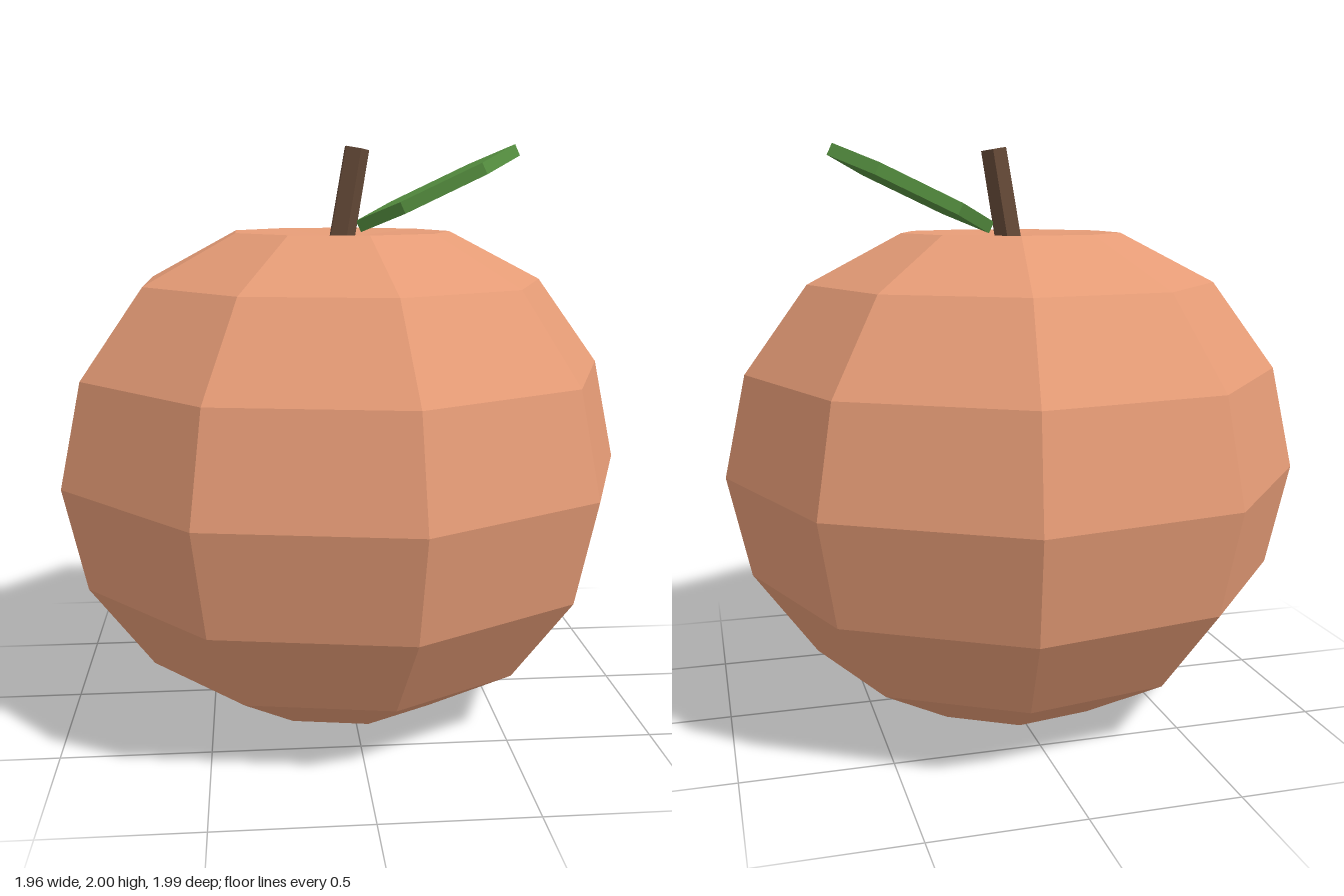
import * as THREE from 'three';

const material = (color) => new THREE.MeshStandardMaterial({ color, flatShading: true });

function addPart(group, name, geometry, color) {
  const mesh = new THREE.Mesh(geometry, material(color));
  mesh.name = name;
  group.add(mesh);
  return mesh;
}

export function createModel() {
  const group = new THREE.Group();
  group.name = 'fruit';

  // Nine-sided squashed body, one corner towards +x, with flattened bottom and dented top
  const profile = [
    [0, 0], [0.387, 0.022], [0.714, 0.217], [0.933, 0.52], [1.01, 0.875],
    [0.933, 1.23], [0.714, 1.53], [0.387, 1.7], [0, 1.675],
  ].map(([r, y]) => new THREE.Vector2(r, y));
  const body = addPart(group, 'fruitBody',
    new THREE.LatheGeometry(profile, 9, Math.PI / 2), 0xe59b76);
  body.position.x = -0.03;

  // Five-sided stem leaning towards +x
  const stem = addPart(group, 'stem',
    new THREE.CylinderGeometry(0.046, 0.048, 0.33, 5, 1, false, Math.PI / 2), 0x664a38);
  stem.position.set(-0.001, 1.822, 0);
  stem.rotation.z = -0.17;

  // Leaf: a stretched hexagonal slab rising from the stem base
  const leafGeometry = new THREE.CylinderGeometry(0.309, 0.309, 0.043, 6, 1, false, Math.PI / 2);
  leafGeometry.scale(1, 1, 0.475);
  const leaf = addPart(group, 'leaf', leafGeometry, 0x569040);
  leaf.position.set(0.315, 1.848, 0);
  leaf.rotation.z = 0.44;

  return group;
}
